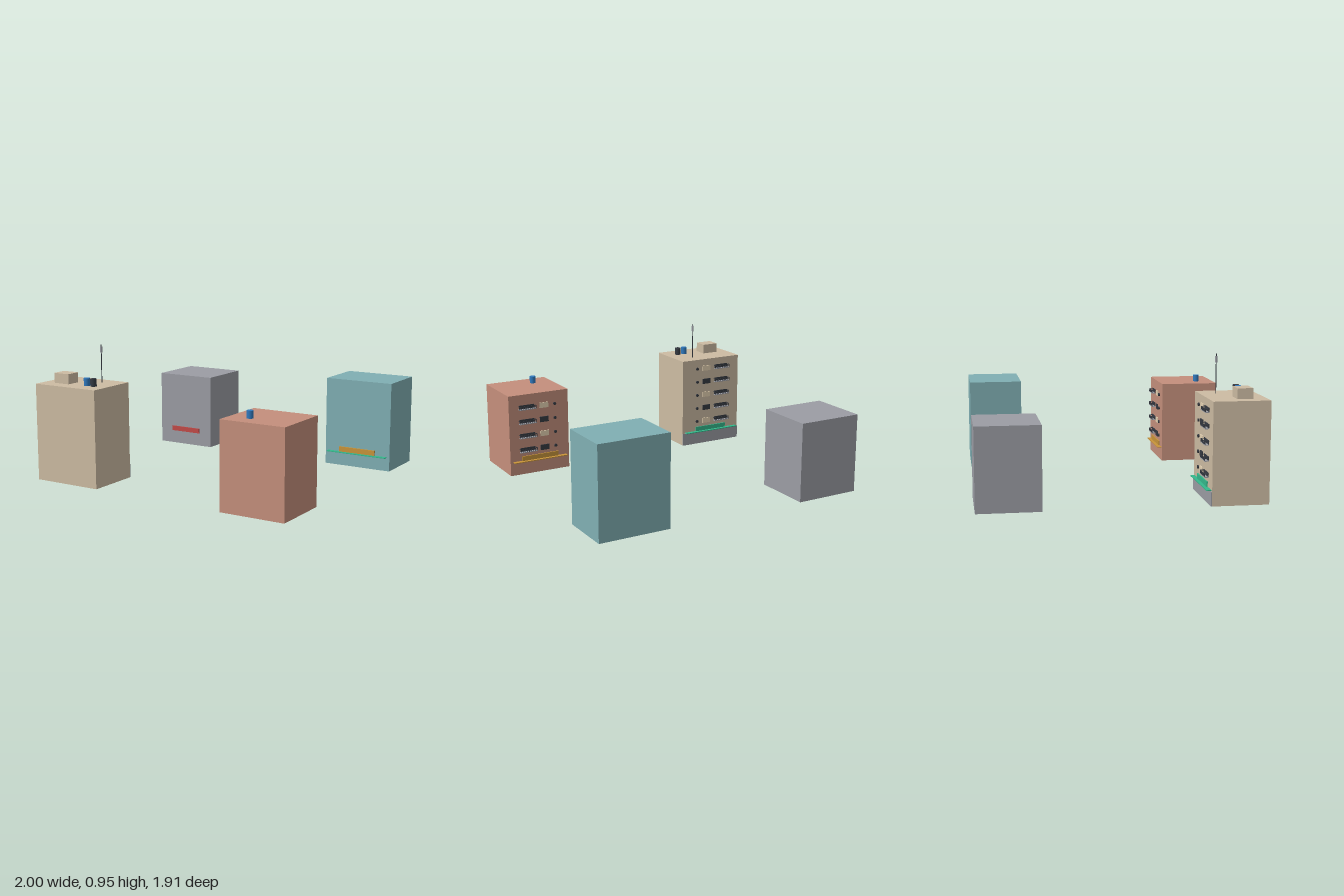
import * as THREE from 'three';

const mat = (name, color) => {
  const m = new THREE.MeshStandardMaterial({ color });
  m.name = name;
  return m;
};

export function createModel() {
  const M = {
    beige: mat('beige wall', 0xcdbca3),
    salmon: mat('salmon wall', 0xc48f7c),
    teal: mat('teal wall', 0x80afb3),
    grey: mat('grey concrete', 0x9b9da4),
    green: mat('green awning', 0x34b88c),
    orange: mat('orange awning', 0xc8943a),
    red: mat('red sign', 0xc24a48),
    blue: mat('blue tank', 0x2f78bd),
    dark: mat('dark metal', 0x363a42),
    lit: mat('lit window', 0xe6d3b3),
  };
  const model = new THREE.Group();
  model.name = 'cityBlock';

  // Box standing with its base at y
  const box = (parent, name, m, w, h, d, x, y, z) => {
    const mesh = new THREE.Mesh(new THREE.BoxGeometry(w, h, d), m);
    mesh.name = name;
    mesh.position.set(x, y + h / 2, z);
    parent.add(mesh);
    return mesh;
  };
  const rod = (parent, name, m, r, h, x, y, z, sides = 16) => {
    const mesh = new THREE.Mesh(new THREE.CylinderGeometry(r, r, h, sides), m);
    mesh.name = name;
    mesh.position.set(x, y + h / 2, z);
    parent.add(mesh);
    return mesh;
  };

  // Balcony: floor slab, top rail, side rails and posts
  const balcony = (parent, w, x, y, z) => {
    const g = new THREE.Group();
    g.name = 'balcony';
    g.position.set(x, y, z);
    box(g, 'balconyFloor', M.grey, w, 0.005, 0.028, 0, -0.014, 0.014);
    box(g, 'balconyDoor', M.dark, w * 0.9, 0.03, 0.004, 0, -0.012, 0.002);
    box(g, 'topRail', M.dark, w, 0.004, 0.003, 0, 0.009, 0.0265);
    box(g, 'middleRail', M.dark, w, 0.003, 0.003, 0, 0, 0.0265);
    for (const s of [-1, 1]) box(g, 'sideRail', M.dark, 0.003, 0.004, 0.028, s * (w / 2 - 0.0015), 0.009, 0.014);
    for (let i = 0; i < 9; i++)
      box(g, 'railPost', M.dark, 0.003, 0.02, 0.003, (i / 8 - 0.5) * (w - 0.003), -0.01, 0.0265);
    parent.add(g);
  };

  // One building; its street side is local +z, turned when it stands at the front
  const building = (o) => {
    const g = new THREE.Group();
    g.name = o.name;
    g.position.set(o.x, 0, o.z);
    if (o.z > 0) g.rotation.y = Math.PI;
    box(g, 'walls', o.wall, o.w, o.h, o.d, 0, 0, 0);
    const f = o.d / 2;
    box(g, 'shopSign', o.sign, o.signW, 0.037, 0.009, 0, 0.1, f + 0.0045);
    if (o.awningW) box(g, 'awning', o.sign, o.awningW, 0.006, 0.031, 0, 0.097, f + 0.0155);
    if (o.shop) box(g, 'shopFront', M.grey, o.w, 0.095, 0.006, 0, 0, f + 0.003);
    const s = o.side;
    for (let i = 0; i < (o.rows || 0); i++) {
      const y = 0.182 + 0.1065 * i;
      balcony(g, 0.13, s * 0.094, y, f);
      box(g, 'window', (o.rows - i) % 2 ? M.lit : M.dark, 0.068, 0.04, 0.006, s * -0.04, y - 0.02, f + 0.003);
      const vent = rod(g, 'wallVent', M.dark, 0.011, 0.01, 0, 0, 0, 12);
      vent.rotation.x = Math.PI / 2;
      vent.position.set(s * -0.125, y, f + 0.005);
    }
    model.add(g);
  };

  building({ name: 'beigeBuilding', wall: M.beige, x: -0.745, z: 0.745, w: 0.51, h: 0.68, d: 0.38,
    sign: M.green, signW: 0.27, awningW: 0.465, shop: true, rows: 5, side: 1 });
  building({ name: 'salmonBuilding', wall: M.salmon, x: 0.742, z: 0.745, w: 0.465, h: 0.597, d: 0.424,
    sign: M.orange, signW: 0.285, awningW: 0.42, rows: 4, side: -1 });
  building({ name: 'greyBuilding', wall: M.grey, x: -0.747, z: -0.745, w: 0.465, h: 0.555, d: 0.424,
    sign: M.red, signW: 0.255 });
  building({ name: 'tealBuilding', wall: M.teal, x: 0.745, z: -0.745, w: 0.51, h: 0.64, d: 0.38,
    sign: M.green, signW: 0.01, awningW: 0.465 });
  // Orange shop sign above the green awning
  box(model, 'tealShopSign', M.orange, 0.28, 0.037, 0.012, 0.745, 0.103, -0.549);

  // Rooftop fittings
  const roof = new THREE.Group();
  roof.name = 'roofFittings';
  model.add(roof);
  box(roof, 'stairHouse', M.beige, 0.123, 0.07, 0.104, -0.851, 0.68, 0.787);
  rod(roof, 'blueTank', M.blue, 0.022, 0.053, -0.65, 0.68, 0.81);
  rod(roof, 'darkTank', M.dark, 0.022, 0.053, -0.594, 0.68, 0.81);
  rod(roof, 'blueTank', M.blue, 0.022, 0.05, 0.656, 0.597, 0.83);
  rod(roof, 'antennaMast', M.dark, 0.003, 0.267, -0.64, 0.68, 0.66, 8);
  rod(roof, 'antennaHead', M.grey, 0.008, 0.042, -0.64, 0.89, 0.66, 10);
  return model;
}
